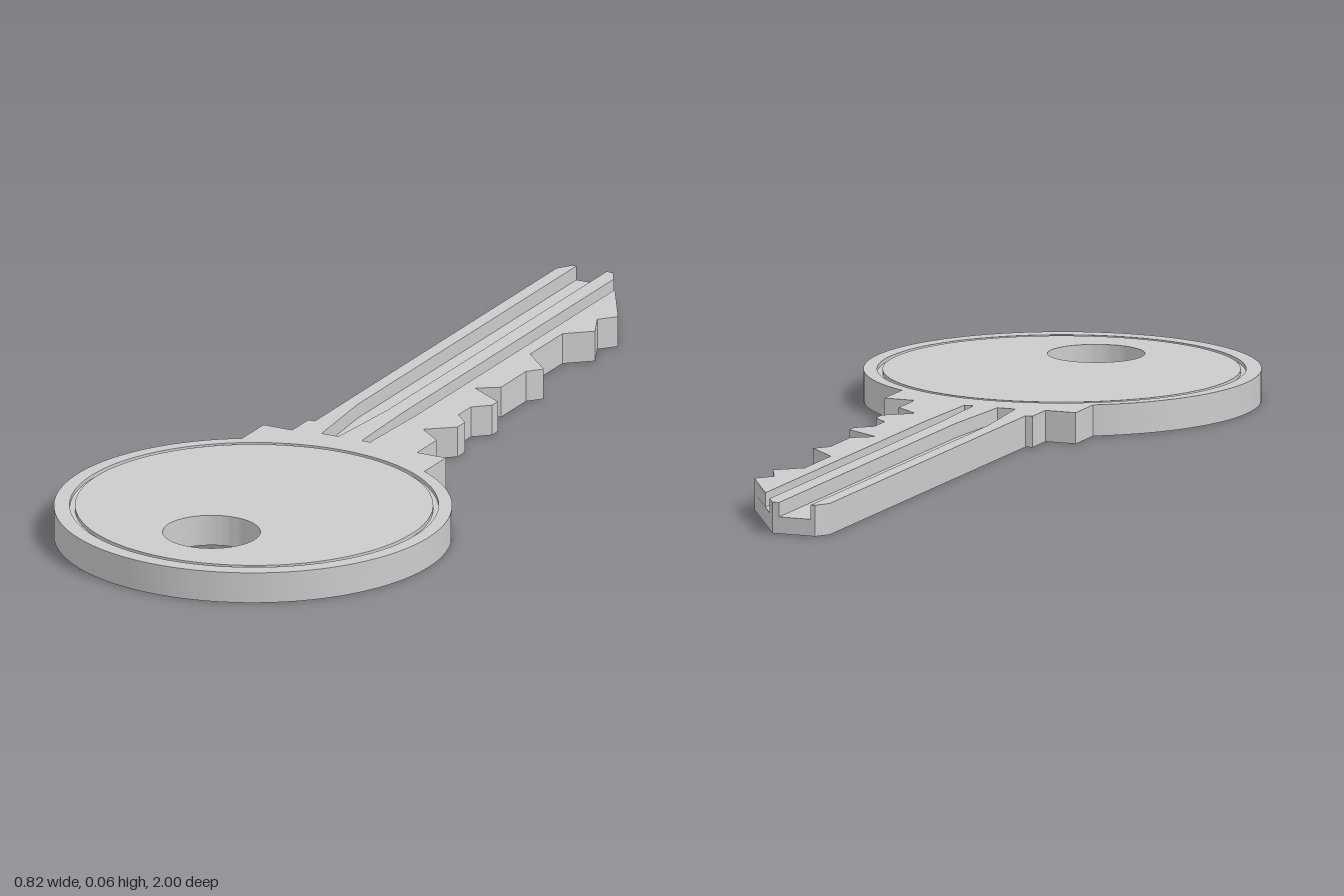
import * as THREE from 'three';
import { toCreasedNormals } from 'three/addons/utils/BufferGeometryUtils.js';

const THICKNESS = 0.065, GROOVE_FLOOR = 0.035, RING_DEPTH = 0.008;
const BOW_Z = 0.592, BOW_R = 0.408, SHOULDER = 0.212;
const RING_Z = 0.587, RING_OUTER = 0.378, RING_INNER = 0.367;
const HOLE_Z = 0.772, HOLE_R = 0.1;

// All outline points are [x, z] as seen from above.
const leftEdge = [
  [-SHOULDER, 0.15], [-0.145, 0.15], [-0.145, 0.08], [-0.13, 0.08], [-0.13, -0.97], [-0.11, -1],
];
const wideGroove = [
  [-0.1, -1], [-0.1, -0.05], [-0.082, 0.14], [-0.043, 0.14], [-0.03, -0.05], [-0.03, -1],
];
const tip = [[-0.015, -1]];
const narrowGroove = [
  [0.005, -0.966], [0.005, -0.05], [0.011, 0.14], [0.03, 0.14], [0.037, -0.05], [0.037, -0.911],
];
const teeth = [
  [0.12, -0.77], [0.09, -0.735], [0.12, -0.67], [0.068, -0.625], [0.068, -0.485],
  [0.135, -0.418], [0.11, -0.388], [0.11, -0.28], [0.066, -0.25], [0.145, -0.2],
  [0.145, -0.175], [0.112, -0.145], [0.112, -0.092], [0.145, -0.058], [0.145, -0.025],
  [0.09, 0.02], [0.145, 0.065], [0.145, 0.15], [SHOULDER, 0.15],
];

function circle(z, r, Type = THREE.Path) {
  return new Type().absarc(0, -z, r, 0, Math.PI * 2, false);
}

// Blade and shoulder outline closed by the round bow
function keyOutline(grooved, hole) {
  const points = grooved
    ? [...leftEdge, ...wideGroove, ...tip, ...narrowGroove, ...teeth]
    : [...leftEdge, ...tip, ...teeth];
  const shape = new THREE.Shape();
  points.forEach(([x, z], i) => (i ? shape.lineTo(x, -z) : shape.moveTo(x, -z)));
  const a = Math.acos(SHOULDER / BOW_R);
  shape.absarc(0, -BOW_Z, BOW_R, a, Math.PI - a, true);
  shape.closePath();
  shape.holes.push(hole);
  return shape;
}

// Disc inside the ring groove, pierced for the key ring
function bowPanel() {
  const shape = circle(RING_Z, RING_INNER, THREE.Shape);
  shape.holes.push(circle(HOLE_Z, HOLE_R));
  return shape;
}

export function createModel() {
  const group = new THREE.Group();
  group.name = 'key';
  const material = new THREE.MeshStandardMaterial({ color: 0xcccccc });

  // Extrudes a flat outline between two heights
  function layer(name, shape, y0, y1) {
    const geometry = new THREE.ExtrudeGeometry(shape, {
      depth: y1 - y0, bevelEnabled: false, curveSegments: 40,
    });
    geometry.rotateX(-Math.PI / 2);
    geometry.translate(0, y0, 0);
    const mesh = new THREE.Mesh(toCreasedNormals(geometry, Math.PI / 8), material);
    mesh.name = name;
    group.add(mesh);
  }

  const ring = () => circle(RING_Z, RING_OUTER);
  const hole = () => circle(HOLE_Z, HOLE_R);
  const top = THICKNESS - RING_DEPTH;

  // Underside: plain blade, ring groove around the bow
  layer('lowerFace', keyOutline(false, ring()), 0, RING_DEPTH);
  layer('lowerBowPanel', bowPanel(), 0, RING_DEPTH);

  // Body: solid up to the groove floor, then cut by the blade grooves
  layer('solidCore', keyOutline(false, hole()), RING_DEPTH, GROOVE_FLOOR);
  layer('groovedCore', keyOutline(true, hole()), GROOVE_FLOOR, top);

  // Upper side: grooved blade, ring groove around the bow
  layer('upperFace', keyOutline(true, ring()), top, THICKNESS);
  layer('upperBowPanel', bowPanel(), top, THICKNESS);

  return group;
}
